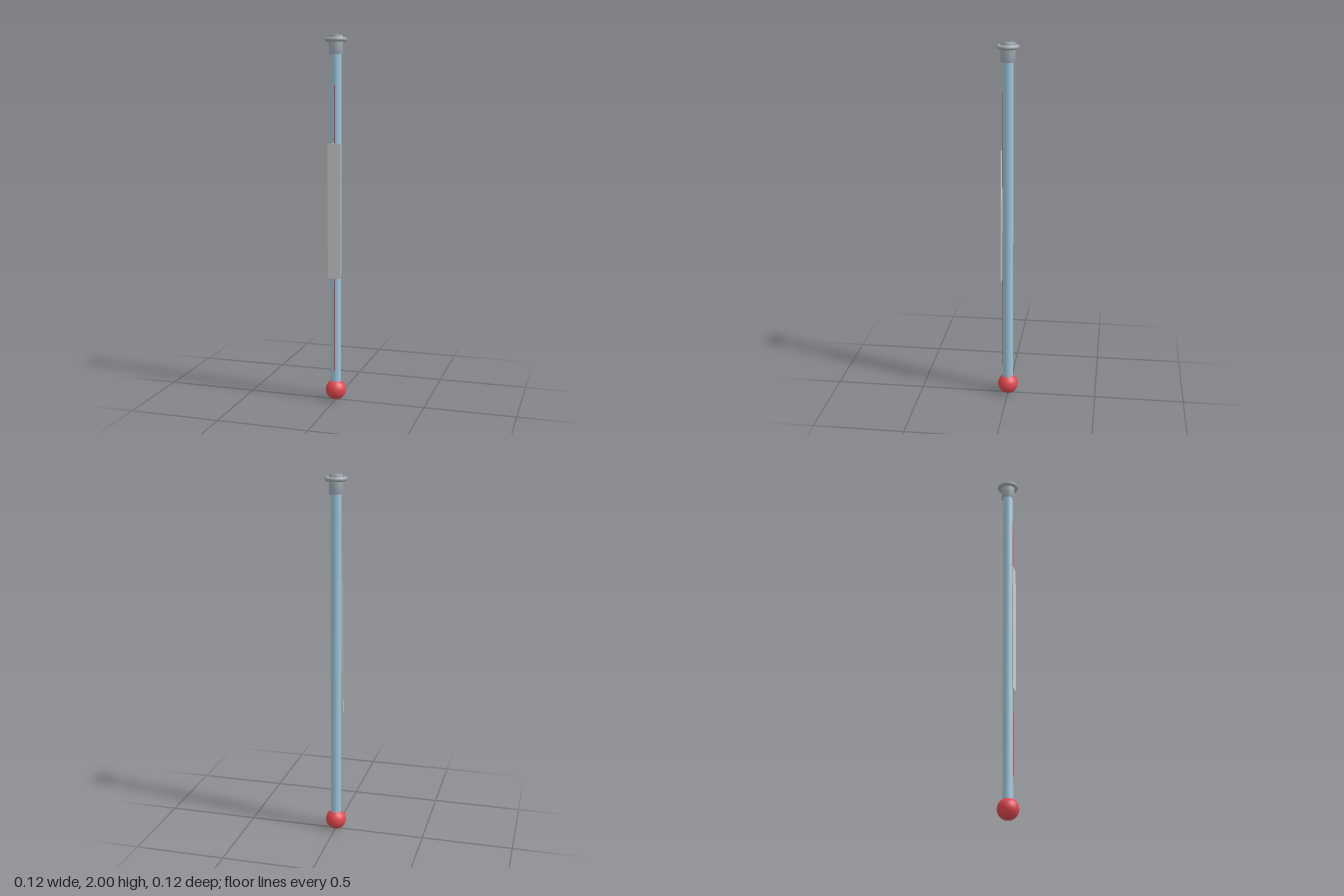
import * as THREE from 'three';
import { mergeVertices } from 'three/addons/utils/BufferGeometryUtils.js';

// Weld a closed cylinder so its shading rolls softly over the rims.
function softCylinder(radius, height, sides) {
  const g = new THREE.CylinderGeometry(radius, radius, height, sides);
  g.deleteAttribute('normal');
  g.deleteAttribute('uv');
  const welded = mergeVertices(g, 1e-4);
  welded.computeVertexNormals();
  return welded;
}

export function createModel() {
  const model = new THREE.Group();
  model.name = 'thermometer';

  const paint = (color) => new THREE.MeshStandardMaterial({ color });
  const glass = paint(0x9fc6d9);
  const red = paint(0xe0484f);
  const metal = paint(0x9fa9b1);
  const paper = paint(0xd6d9d7);

  function add(name, geometry, material, y, z = 0) {
    const mesh = new THREE.Mesh(geometry, material);
    mesh.name = name;
    mesh.position.set(0, y, z);
    model.add(mesh);
    return mesh;
  }

  // Bulb at the foot and the long stem above it
  add('bulb', new THREE.SphereGeometry(0.057, 24, 16), red, 0.057);
  add('stem', softCylinder(0.029, 1.83, 16), glass, 1.0);

  // Thin liquid column along the front of the stem
  add('liquidColumn', softCylinder(0.004, 1.57, 8), red, 0.955, 0.027);

  // Flat scale plate covering the middle of the stem
  add('scalePlate', new THREE.BoxGeometry(0.072, 0.735, 0.004), paper, 1.062, 0.034);

  // End cap with its rounded collar
  add('cap', softCylinder(0.038, 0.1, 12), metal, 1.95);
  const collar = add('collar', new THREE.TorusGeometry(0.048, 0.012, 10, 24), metal, 1.977);
  collar.rotation.x = Math.PI / 2;

  return model;
}
